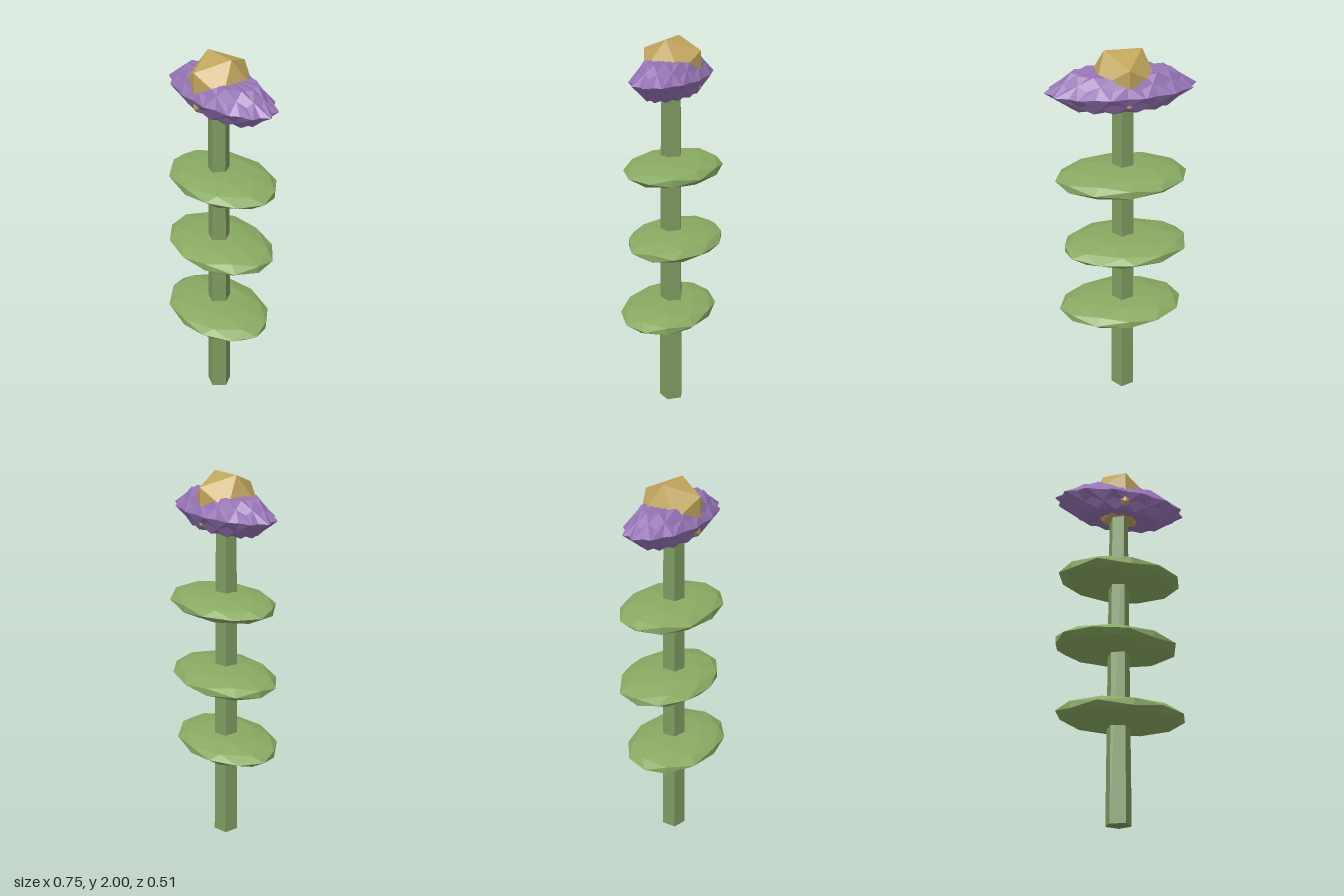
import * as THREE from 'three';

const paint = (color) => new THREE.MeshStandardMaterial({ color, flatShading: true });

function addMesh(parent, name, geometry, material, x, y, z) {
  const mesh = new THREE.Mesh(geometry, material);
  mesh.name = name;
  mesh.position.set(x, y, z);
  parent.add(mesh);
  return mesh;
}

export function createModel() {
  const flower = new THREE.Group();
  flower.name = 'flower';
  const stemGreen = paint(0x7f9a60);
  const leafGreen = paint(0x8aaa62);
  const purple = paint(0x9674b4);
  const gold = paint(0xc0a55c);

  // Tapered five-sided stem with one corner toward +x
  const stem = new THREE.CylinderGeometry(0.054, 0.067, 1.76, 5);
  stem.rotateY(Math.PI / 2);
  addMesh(flower, 'stem', stem, stemGreen, -0.011, 0.88, 0.008);

  // Three flattened leaf discs, the middle one given a quarter turn
  const leafCentres = [[0, 0.548, 0.022], [-0.02, 0.947, -0.01], [0, 1.345, -0.007]];
  leafCentres.forEach(([x, y, z], i) => {
    const leaf = new THREE.IcosahedronGeometry(1, 1);
    leaf.rotateY(-0.5536 + (i % 2) * Math.PI / 2);
    leaf.scale(0.34, 0.0625, 0.243);
    addMesh(flower, 'leaf', leaf, leafGreen, x, y, z);
  });

  // Ring of overlapping petals, flattened from front to back
  const petals = new THREE.Group();
  petals.name = 'petals';
  petals.position.set(0, 1.812, 0);
  flower.add(petals);
  const count = 14;
  for (let i = 0; i < count; i++) {
    const angle = (i / count) * Math.PI * 2;
    const petal = new THREE.IcosahedronGeometry(0.3, 0);
    petal.translate(0.085, 0, 0);
    petal.rotateY(angle);
    petal.scale(1, 0.355, 0.47);
    addMesh(petals, 'petal', petal, purple, 0, 0, 0);
  }

  // Faceted flower centre
  addMesh(flower, 'flowerCentre', new THREE.IcosahedronGeometry(0.176, 0), gold, -0.01, 1.85, 0.004);

  return flower;
}
